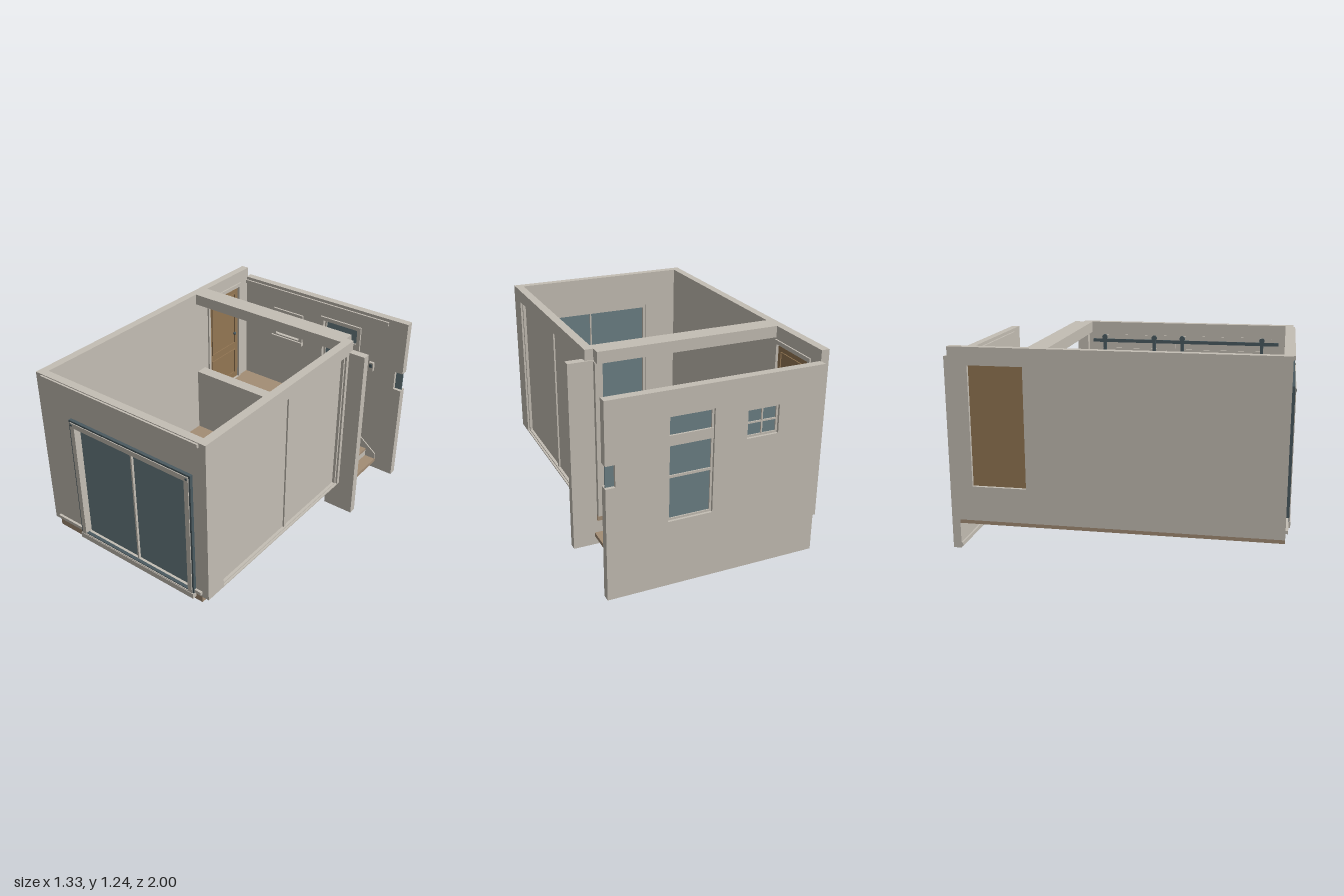
import * as THREE from 'three';

export function createModel() {
  const model = new THREE.Group();
  model.name = 'roomWithHall';
  const mat = (name, color) => {
    const m = new THREE.MeshStandardMaterial({ color });
    m.name = name;
    return m;
  };
  const wall = mat('plaster', 0xc4beb4);
  const wood = mat('floorWood', 0xa38d75);
  const oak = mat('doorWood', 0x937653);
  const glass = mat('glass', 0x6b7f84);
  const metal = mat('darkMetal', 0x4a5a60);

  const add = (name, geo, m) => {
    const mesh = new THREE.Mesh(geo, m);
    mesh.name = name;
    model.add(mesh);
    return mesh;
  };
  // box from its limits on each axis
  const box = (name, m, x0, x1, y0, y1, z0, z1) =>
    add(name, new THREE.BoxGeometry(x1 - x0, y1 - y0, z1 - z0)
      .translate((x0 + x1) / 2, (y0 + y1) / 2, (z0 + z1) / 2), m);
  const rect = (path, [u0, u1, v0, v1]) => {
    path.moveTo(u0, v0);
    path.lineTo(u1, v0);
    path.lineTo(u1, v1);
    path.lineTo(u0, v1);
    path.closePath();
    return path;
  };
  const slab = (outer, holes, depth) => {
    const s = rect(new THREE.Shape(), outer);
    for (const h of holes) s.holes.push(rect(new THREE.Path(), h));
    return new THREE.ExtrudeGeometry(s, { depth, bevelEnabled: false });
  };
  // upright plate across x, from z0 to z1, with rectangular holes
  const plateX = (name, m, outer, holes, z0, z1) =>
    add(name, slab(outer, holes, z1 - z0).translate(0, 0, z0), m);
  // upright plate along z, from x0 to x1
  const plateZ = (name, m, outer, holes, x0, x1) =>
    add(name, slab(outer, holes, x1 - x0).rotateY(-Math.PI / 2).translate(x1, 0, 0), m);
  const knob = (x, y, z) =>
    add('doorKnob', new THREE.SphereGeometry(0.011, 12, 8).translate(x, y, z), metal);

  // floors
  box('floor', wood, -0.62, 0.515, 0.16, 0.2, -0.455, 0.97);
  box('hallFloor', wood, -0.62, 0.36, 0.16, 0.2, -0.95, -0.455);

  // front wall with large window
  plateX('frontWall', wall, [-0.665, 0.56, 0.2, 1.235], [[-0.39, 0.45, 0.21, 1.0]], 0.92, 0.97);
  box('frontCornice', wall, -0.62, 0.515, 1.207, 1.23, 0.97, 0.982);
  box('frontLedge', wall, -0.62, -0.41, 0.22, 0.24, 0.97, 0.985);
  box('frontLedge', wall, 0.47, 0.515, 0.22, 0.24, 0.97, 0.985);
  plateX('windowEdge', metal, [-0.413, 0.47, 0.215, 1.022], [[-0.402, 0.459, 0.215 + 0.01, 1.011]], 0.97, 0.99);
  plateX('windowTrim', wall, [-0.402, 0.459, 0.215, 1.011], [[-0.372, 0.43, 0.22, 0.98]], 0.955, 0.995);
  plateX('windowInnerFrame', wall, [-0.39, 0.45, 0.21, 1.0], [[-0.372, 0.43, 0.22, 0.98]], 0.925, 0.955);
  box('windowGlass', glass, -0.375, 0.435, 0.215, 0.985, 0.943, 0.95);
  box('windowMullion', wall, 0.024, 0.034, 0.21, 0.995, 0.935, 0.965);
  box('windowSill', wall, -0.413, 0.47, 0.18, 0.215, 0.965, 0.998);
  for (const x of [-0.39, 0.447])
    add('trimBolt', new THREE.CylinderGeometry(0.007, 0.007, 0.004, 12)
      .rotateX(Math.PI / 2).translate(x, 0.997, 0.996), metal);

  // left wall with the panelled hall door
  plateZ('leftWall', wall, [-0.96, 0.97, 0.2, 1.235], [[-0.845, -0.52, 0.41, 1.13]], -0.665, -0.615);
  plateZ('doorTrim', wall, [-0.865, -0.5, 0.41, 1.155], [[-0.845, -0.52, 0.4101, 1.13]], -0.615, -0.605);
  box('hallDoor', oak, -0.645, -0.622, 0.41, 1.13, -0.845, -0.52);
  for (const [y0, y1] of [[0.455, 0.65], [0.7, 1.09]])
    plateZ('doorPanelMoulding', oak, [-0.812, -0.55, y0, y1],
      [[-0.806, -0.556, y0 + 0.006, y1 - 0.006]], -0.622, -0.615);
  knob(-0.608, 0.785, -0.795);

  // right wall with double sliding doors
  plateZ('rightWall', wall, [-0.4, 0.97, 0.2, 1.235], [[-0.375, 0.835, 0.208, 1.155]], 0.508, 0.56);
  box('rightWallEnd', wall, 0.508, 0.56, 1.17, 1.235, -0.44, -0.4);
  plateZ('doorSurround', wall, [-0.375, 0.835, 0.208, 1.155], [[-0.362, 0.82, 0.215, 1.142]], 0.515, 0.548);
  for (const [z0, z1] of [[-0.37, 0.194], [0.206, 0.83]]) {
    box('slidingDoor', wall, 0.512, 0.53, 0.21, 1.15, z0, z1);
    for (const [y0, y1] of [[0.28, 0.62], [0.68, 1.06]])
      plateZ('slidingDoorMoulding', wall, [z0 + 0.06, z1 - 0.06, y0, y1],
        [[z0 + 0.07, z1 - 0.07, y0 + 0.01, y1 - 0.01]], 0.505, 0.512);
  }
  box('doorMeetingStile', wall, 0.515, 0.54, 0.21, 1.15, 0.19, 0.21);
  box('slidingRail', metal, 0.494, 0.503, 1.1, 1.122, -0.37, 0.88);
  for (const z of [-0.29, 0.05, 0.24, 0.77]) {
    box('railHanger', metal, 0.487, 0.512, 1.03, 1.15, z - 0.01, z + 0.01);
    add('railWheel', new THREE.CylinderGeometry(0.018, 0.018, 0.01, 16)
      .rotateZ(Math.PI / 2).translate(0.491, 1.135, z), metal);
  }
  knob(0.498, 0.595, 0.29);
  knob(0.498, 0.595, 0.12);

  // beam, low partition and entrance post
  box('beam', wall, -0.615, 0.51, 1.165, 1.235, -0.5, -0.38);
  box('lowPartition', wall, -0.615, 0.04, 0.2, 0.65, -0.46, -0.38);
  box('lowPartitionReturn', wall, -0.015, 0.04, 0.2, 0.635, -0.19, -0.38 + 0.19 + 0.002);
  box('lowPartitionReturn', wall, -0.015, 0.04, 0.2, 0.635, -0.38, -0.19);
  box('lowPartitionCap', wall, -0.025, 0.045, 0.635, 0.65, -0.38, -0.187);
  box('entrancePillar', wall, 0.46, 0.665, 0, 1.17, -0.448, -0.4);
  box('entrancePost', wall, 0.485, 0.515, 0.2, 1.165, -0.475, -0.448);

  // back wall, with a notch at its right edge
  const s = new THREE.Shape();
  [[-0.62, 0], [0.665, 0], [0.665, 0.68], [0.61, 0.68], [0.61, 0.81], [0.665, 0.81], [0.665, 1.17], [-0.62, 1.17]]
    .forEach(([x, y], i) => (i ? s.lineTo(x, y) : s.moveTo(x, y)));
  const tall = [0.045, 0.31, 0.405, 1.025], small = [-0.345, -0.15, 0.81, 0.98];
  for (const h of [tall, small]) s.holes.push(rect(new THREE.Path(), h));
  add('backWall', new THREE.ExtrudeGeometry(s, { depth: 0.05, bevelEnabled: false }).translate(0, 0, -1), wall);
  box('backCornice', wall, -0.615, 0.53, 1.125, 1.15, -0.95, -0.938);
  box('backBaseRail', wall, -0.62, 0.46, 0.012, 0.035, -0.95, -0.94);
  box('notchGlass', glass, 0.61, 0.66, 0.68, 0.81, -0.98, -0.973);

  // back windows
  for (const [name, [x0, x1, y0, y1]] of [['tallWindow', tall], ['smallWindow', small]]) {
    box(name + 'Glass', glass, x0, x1, y0, y1, -0.978, -0.971);
    plateX(name + 'Trim', wall, [x0 - 0.025, x1 + 0.025, y0 - 0.025, y1 + 0.025], [[x0, x1, y0, y1]], -0.95, -0.937);
    plateX(name + 'Sash', wall, [x0, x1, y0, y1], [[x0 + 0.012, x1 - 0.012, y0 + 0.012, y1 - 0.012]], -0.985, -0.962);
    box(name + 'Sill', wall, x0 - 0.03, x1 + 0.03, y0 - 0.035, y0 - 0.01, -0.95, -0.925);
  }
  box('transomRail', wall, 0.045, 0.31, 0.85, 0.91, -0.99, -0.96);
  box('tallWindowBar', wall, 0.045, 0.31, 0.66, 0.675, -0.985, -0.962);
  box('smallWindowBar', wall, -0.345, -0.15, 0.89, 0.9, -0.985, -0.962);
  box('smallWindowBar', wall, -0.252, -0.243, 0.81, 0.98, -0.985, -0.962);
  box('wallIntercom', wall, 0.42, 0.455, 0.77, 0.83, -0.95, -0.93);
  box('intercomPlate', metal, 0.428, 0.447, 0.795, 0.82, -0.93, -0.926);

  // steps up to the hall door
  [[-0.09, 0.41], [-0.01, 0.34], [0.07, 0.27]].forEach(([x1, y], i) => {
    const x0 = i ? x1 - 0.08 : -0.615;
    box('upperRiser', wood, x0, x1 - 0.006, 0.2, y - 0.015, -0.95, -0.46);
    box('upperTread', wood, x0, x1, y - 0.015, y, -0.95, -0.46);
  });

  // steps down to the entrance
  box('lowerTread', wood, 0.36, 0.455, 0.122, 0.138, -0.95, -0.448);
  box('lowerTread', wood, 0.45, 0.532, 0.056, 0.08, -0.95, -0.448);
  box('lowerRiser', wall, 0.352, 0.362, 0.138, 0.197, -0.95, -0.455);
  box('lowerRiser', wall, 0.445, 0.455, 0.08, 0.122, -0.95, -0.448);

  // slanted skirting beside the lower steps
  const k = new THREE.Shape([[0.34, 0.2], [0.36, 0.14], [0.45, 0.08], [0.53, 0.08], [0.53, 0.12], [0.4, 0.22], [0.34, 0.25]]
    .map(([x, y]) => new THREE.Vector2(x, y)));
  add('stairSkirting', new THREE.ExtrudeGeometry(k, { depth: 0.008, bevelEnabled: false }).translate(0, 0, -0.95), wall);
  return model;
}
